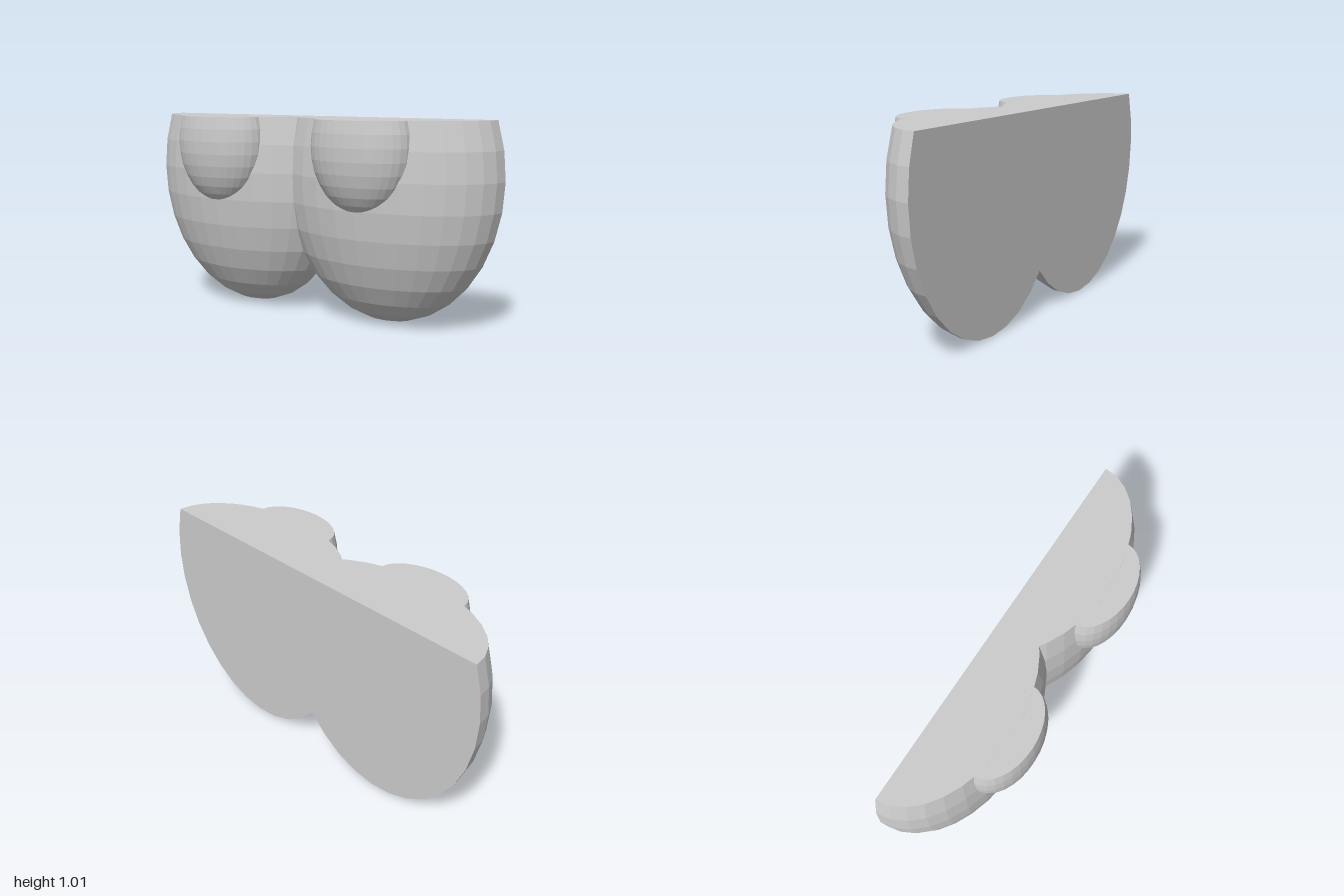
import * as THREE from 'three';

// Unit ellipsoid profile from the bottom pole up to the flat cut, closed by a top cap.
const RINGS = 10, STEP = Math.PI / 16;
const profile = [];
for (let i = 0; i <= RINGS; i++) {
  profile.push(new THREE.Vector2(Math.sin(i * STEP), -Math.cos(i * STEP)));
}
const CUT = profile[RINGS].y;

const material = new THREE.MeshStandardMaterial({ color: 0xcccccc, flatShading: true });

function addMesh(parent, name, geometry) {
  const mesh = new THREE.Mesh(geometry, material);
  mesh.name = name;
  parent.add(mesh);
  return mesh;
}

// Egg with a level top; sweep is PI for the front half or 2 PI for a whole one.
function cutEgg(sweep) {
  const points = [...profile, new THREE.Vector2(0, CUT)];
  return new THREE.LatheGeometry(points, Math.round(sweep / STEP), -Math.PI / 2, sweep);
}

// Flat wall closing the back of a half egg.
function backWall() {
  const mirrored = profile.slice(1).reverse().map((p) => new THREE.Vector2(-p.x, p.y));
  return new THREE.ShapeGeometry(new THREE.Shape([...profile, ...mirrored])).rotateY(Math.PI);
}

export function createModel() {
  const model = new THREE.Group();
  model.name = 'eyes';

  for (const [side, label] of [[1, 'left'], [-1, 'right']]) {
    // Eyeball: front half of an ellipsoid with a flat back
    const eyeball = new THREE.Group();
    eyeball.name = label + 'Eyeball';
    eyeball.position.set(side * 0.413, 0.729, -0.228);
    eyeball.scale.set(0.587, 0.729, 0.363);
    addMesh(eyeball, label + 'EyeballShell', cutEgg(Math.PI));
    addMesh(eyeball, label + 'EyeballBack', backWall());
    model.add(eyeball);

    // Pupil: smaller ellipsoid set into the front, cut at the same height
    const pupil = addMesh(model, label + 'Pupil', cutEgg(Math.PI * 2));
    pupil.position.set(side * 0.415, 0.884, 0.067);
    pupil.scale.set(0.26, 0.323, 0.161);
  }
  return model;
}
